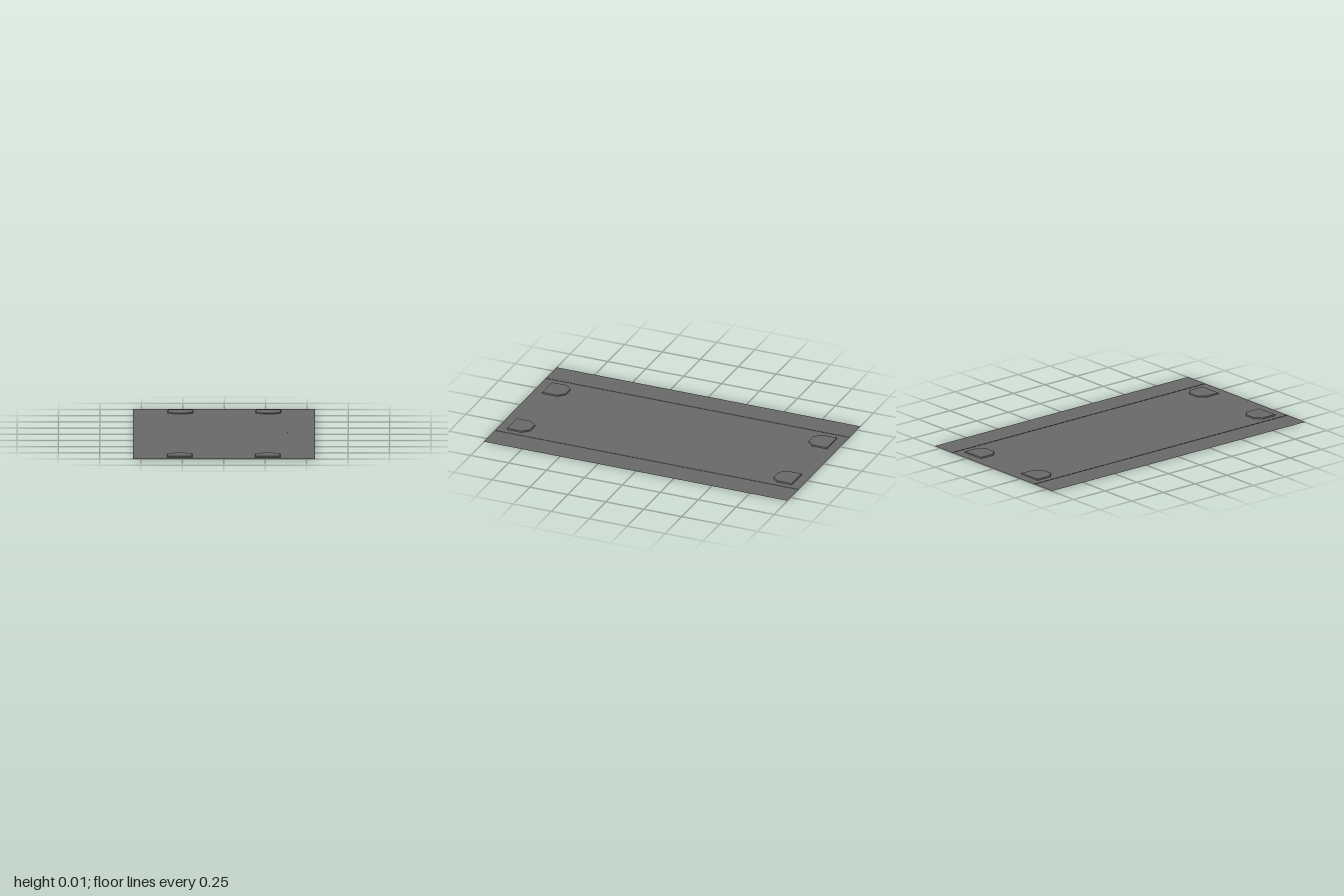
import * as THREE from 'three';

export function createModel() {
  const model = new THREE.Group();
  const grey = new THREE.MeshStandardMaterial({ color: 0x686868, side: THREE.DoubleSide });
  grey.name = 'mid grey';

  const add = (name, geometry, x = 0, y = 0, z = 0) => {
    const mesh = new THREE.Mesh(geometry, grey);
    mesh.name = name;
    mesh.position.set(x, y, z);
    model.add(mesh);
    return mesh;
  };

  // Flat sheet forming the panel
  const sheetY = 0.002;
  add('panel', new THREE.PlaneGeometry(1.1, 2).rotateX(-Math.PI / 2), 0, sheetY, 0);

  // Very low upright seams running the full length
  for (const side of [-1, 1]) {
    add('seam', new THREE.PlaneGeometry(2, 0.004).rotateY(Math.PI / 2), side * 0.385, sheetY, 0);
  }

  // Raised pad: square outer end, clipped inner corners, slightly tapered sides
  const outline = [
    [-0.079, -0.07], [0.079, -0.07], [0.079, 0.03],
    [0.038, 0.07], [-0.038, 0.07], [-0.079, 0.03],
  ].map(([x, y]) => new THREE.Vector2(x, y));
  const height = 0.009;
  const padGeometry = new THREE.ExtrudeGeometry(new THREE.Shape(outline), {
    depth: height, bevelEnabled: false,
  }).rotateX(-Math.PI / 2);
  const p = padGeometry.attributes.position;
  for (let i = 0; i < p.count; i++) {
    if (p.getY(i) > height / 2) {
      p.setX(i, p.getX(i) * 0.93);
      p.setZ(i, p.getZ(i) * 0.97);
    }
  }
  padGeometry.computeVertexNormals();

  // One pad near each corner, clipped ends facing the middle
  for (const end of [-1, 1]) {
    for (const side of [-1, 1]) {
      const pad = add('pad', padGeometry, side * 0.266, 0, end * 0.87);
      pad.rotation.y = end > 0 ? 0 : Math.PI;
    }
  }
  return model;
}
